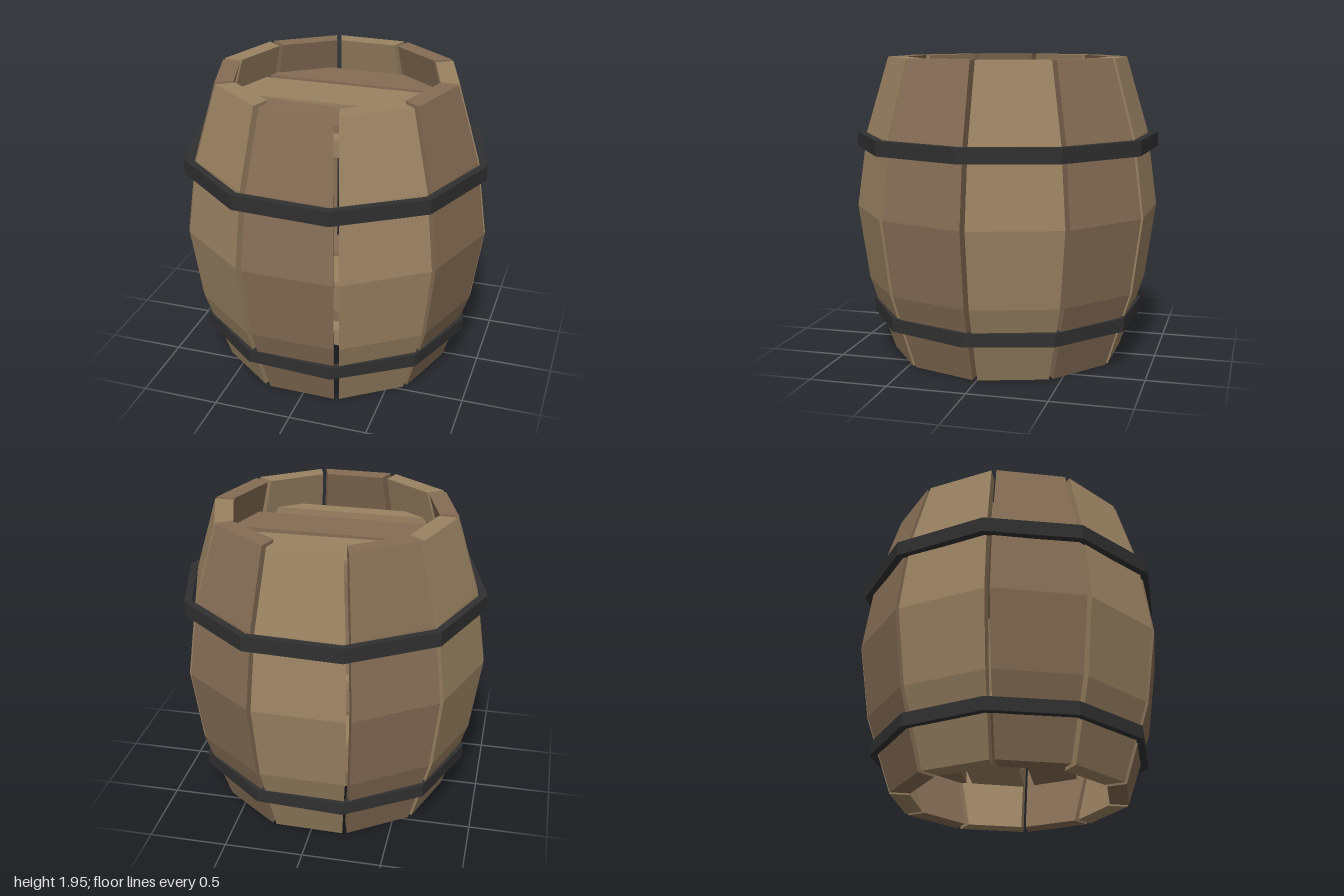
import * as THREE from 'three';

const SIDES = 10;
const TAN = Math.tan(Math.PI / SIDES);
const COS = Math.cos(Math.PI / SIDES);
const wood = [0x856d55, 0x9a8262].map(
  (color) => new THREE.MeshStandardMaterial({ color, flatShading: true }));
const iron = new THREE.MeshStandardMaterial({ color: 0x303030, flatShading: true });

// Distance of the stave's outer and inner face from the axis, bottom to top
const HEIGHT = 1.95;
const OUTER = [0.73, 0.885, 0.95, 0.885, 0.745];
const INNER = [0.61, 0.765, 0.83, 0.765, 0.63];
const GAP = 0.017;

// Small repeatable irregularity in -1..1
const wobble = (i) => Math.sin(i * 12.9898 + 1.3);

function addMesh(parent, name, geometry, material) {
  const mesh = new THREE.Mesh(geometry, material);
  mesh.name = name;
  parent.add(mesh);
  return mesh;
}

// A box with four height steps, bent into a bulging, wedge-sided stave
function staveGeometry() {
  const geo = new THREE.BoxGeometry(2, 4, 2, 1, 4, 1);
  const p = geo.attributes.position;
  for (let i = 0; i < p.count; i++) {
    const row = Math.round(p.getY(i) + 2);
    const r = (p.getZ(i) > 0 ? OUTER : INNER)[row];
    p.setXYZ(i, p.getX(i) * (r * TAN - GAP), (row / 4) * HEIGHT, r);
  }
  geo.computeVertexNormals();
  return geo;
}

function decagon(apothem) {
  const pts = [];
  for (let i = 0; i < SIDES; i++) {
    const a = ((i + 0.5) / SIDES) * Math.PI * 2;
    pts.push(new THREE.Vector2(Math.sin(a), Math.cos(a)).multiplyScalar(apothem / COS));
  }
  return pts;
}

// Ten-sided flat iron band
function bandGeometry(outer, inner, height) {
  const shape = new THREE.Shape(decagon(outer));
  shape.holes.push(new THREE.Path(decagon(inner)));
  return new THREE.ExtrudeGeometry(shape, { depth: height, bevelEnabled: false })
    .rotateX(-Math.PI / 2);
}

// Half width of the decagon at depth z
function halfChord(z, apothem) {
  let x = Infinity;
  for (let i = 0; i < SIDES; i++) {
    const a = (i / SIDES) * Math.PI * 2;
    if (Math.sin(a) > 0.01) x = Math.min(x, (apothem - z * Math.cos(a)) / Math.sin(a));
  }
  return x;
}

// Lid plank from z0 to z1, its ends following the inside of the barrel
function plankGeometry(z0, z1, apothem, thickness) {
  const corner = (0.5877853 * apothem) / COS;
  const zs = [z0, ...[-corner, 0, corner].filter((z) => z > z0 && z < z1), z1];
  const right = zs.map((z) => new THREE.Vector2(halfChord(z, apothem), z));
  const left = right.map((v) => new THREE.Vector2(-v.x, v.y)).reverse();
  return new THREE.ExtrudeGeometry(new THREE.Shape([...right, ...left]),
    { depth: thickness, bevelEnabled: false }).rotateX(Math.PI / 2);
}

export function createModel() {
  const barrel = new THREE.Group();
  barrel.name = 'barrel';

  // Staves in alternating wood tones
  const staves = new THREE.Group();
  staves.name = 'staves';
  staves.rotation.y = -0.02;
  const geo = staveGeometry();
  for (let i = 0; i < SIDES; i++) {
    const stave = addMesh(staves, 'stave', geo, wood[i % 2]);
    stave.rotation.y = (i / SIDES) * Math.PI * 2 + wobble(i) * 0.006;
  }
  barrel.add(staves);

  // Recessed top and bottom lids of four planks with open gaps
  const strips = [[-0.66, -0.385], [-0.34, 0.015], [0.065, 0.37], [0.485, 0.59]];
  for (const [name, top] of [['topLid', 1.74], ['bottomLid', 0.43]]) {
    const lid = new THREE.Group();
    lid.name = name;
    lid.position.y = top;
    strips.forEach(([z0, z1], i) => {
      const plank = addMesh(lid, 'lidPlank', plankGeometry(z0, z1, 0.7, 0.11), wood[i % 2]);
      plank.rotation.y = [0.004, 0.012, -0.02, -0.015][i];
    });
    barrel.add(lid);
  }

  // Iron bands
  const upper = addMesh(barrel, 'upperBand', bandGeometry(0.944, 0.898, 0.095), iron);
  upper.position.y = 1.365;
  const lower = addMesh(barrel, 'lowerBand', bandGeometry(0.855, 0.812, 0.085), iron);
  lower.position.y = 0.248;
  upper.rotation.y = lower.rotation.y = -0.057;

  return barrel;
}
